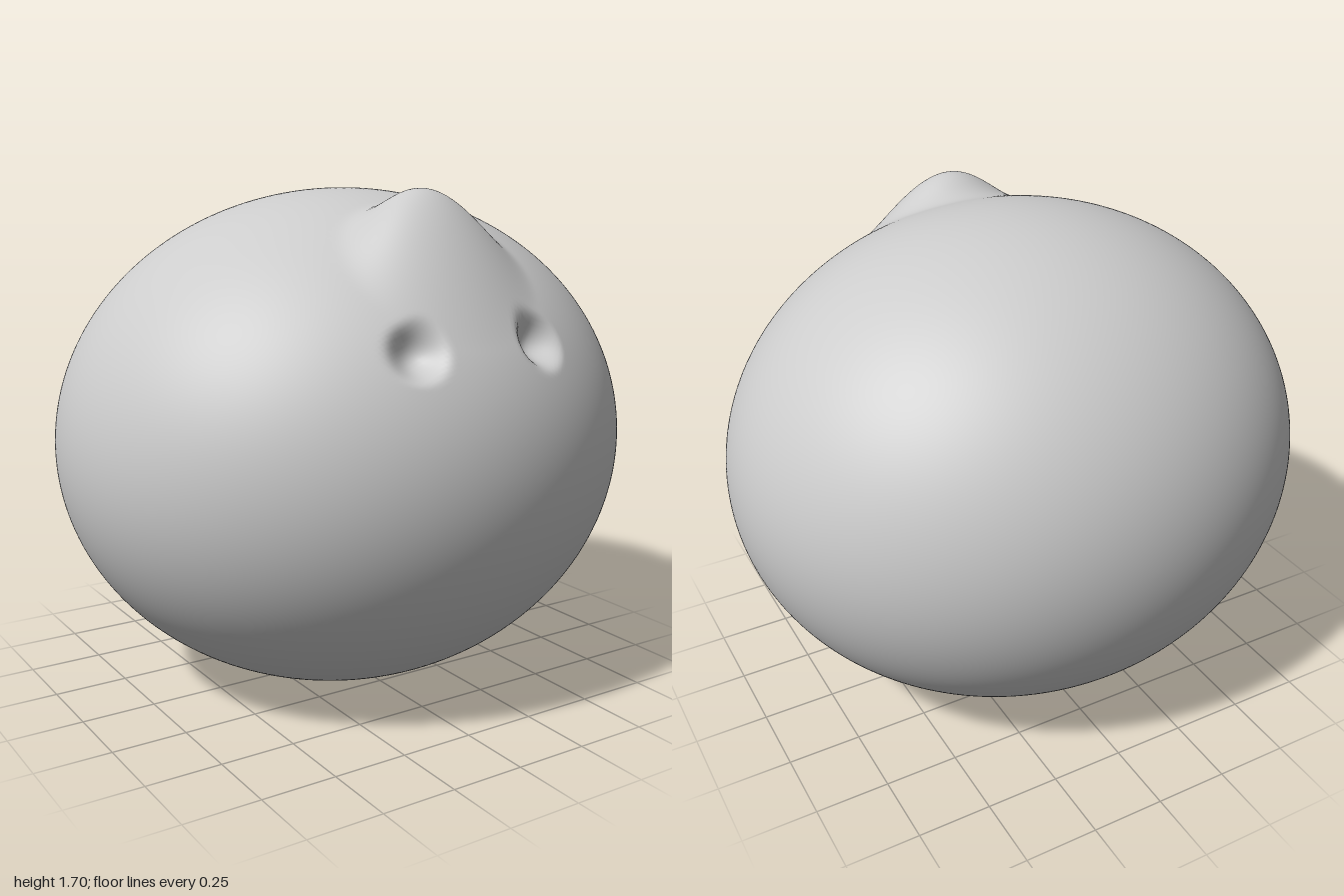
import * as THREE from 'three';
import { mergeVertices } from 'three/addons/utils/BufferGeometryUtils.js';

// Smooth sculpting falloff: 1 at the centre, 0 at the radius
function falloff(distance, radius) {
  const t = Math.min(distance / radius, 1);
  return (1 - t * t) ** 2;
}

// Pulls a dome of the surface around a centre along an offset
function pull(point, rest, brush) {
  point.addScaledVector(brush.offset, falloff(rest.distanceTo(brush.centre), brush.radius));
}

export function createModel() {
  const group = new THREE.Group();
  group.name = 'roundCreature';

  const clay = new THREE.MeshStandardMaterial({ color: 0xcccccc });
  clay.name = 'grey clay';

  // Egg-shaped body, with the sphere's pole turned to the front for finer detail there
  const sphere = new THREE.SphereGeometry(1, 256, 200);
  sphere.rotateX(Math.PI / 2);
  sphere.scale(1, 0.85, 0.9);
  sphere.translate(0, 0.85, 0);
  sphere.deleteAttribute('uv');
  sphere.deleteAttribute('normal');
  const body = mergeVertices(sphere, 1e-5);

  // Brow crest pulled upwards, and a pair of eye sockets pressed inwards
  const brushes = [{
    centre: new THREE.Vector3(0, 1.5, 0.58),
    offset: new THREE.Vector3(0, 0.175, -0.06),
    radius: 0.34,
  }];
  for (const side of [-1, 1]) {
    brushes.push({
      centre: new THREE.Vector3(side * 0.23, 1.25, 0.77),
      offset: new THREE.Vector3(-side * 0.015, -0.03, -0.06),
      radius: 0.11,
    });
  }

  const position = body.attributes.position;
  const rest = new THREE.Vector3();
  const point = new THREE.Vector3();
  for (let i = 0; i < position.count; i++) {
    rest.fromBufferAttribute(position, i);
    point.copy(rest);
    for (const brush of brushes) pull(point, rest, brush);
    position.setXYZ(i, point.x, point.y, point.z);
  }
  body.computeVertexNormals();

  const mesh = new THREE.Mesh(body, clay);
  mesh.name = 'body';
  group.add(mesh);
  return group;
}
